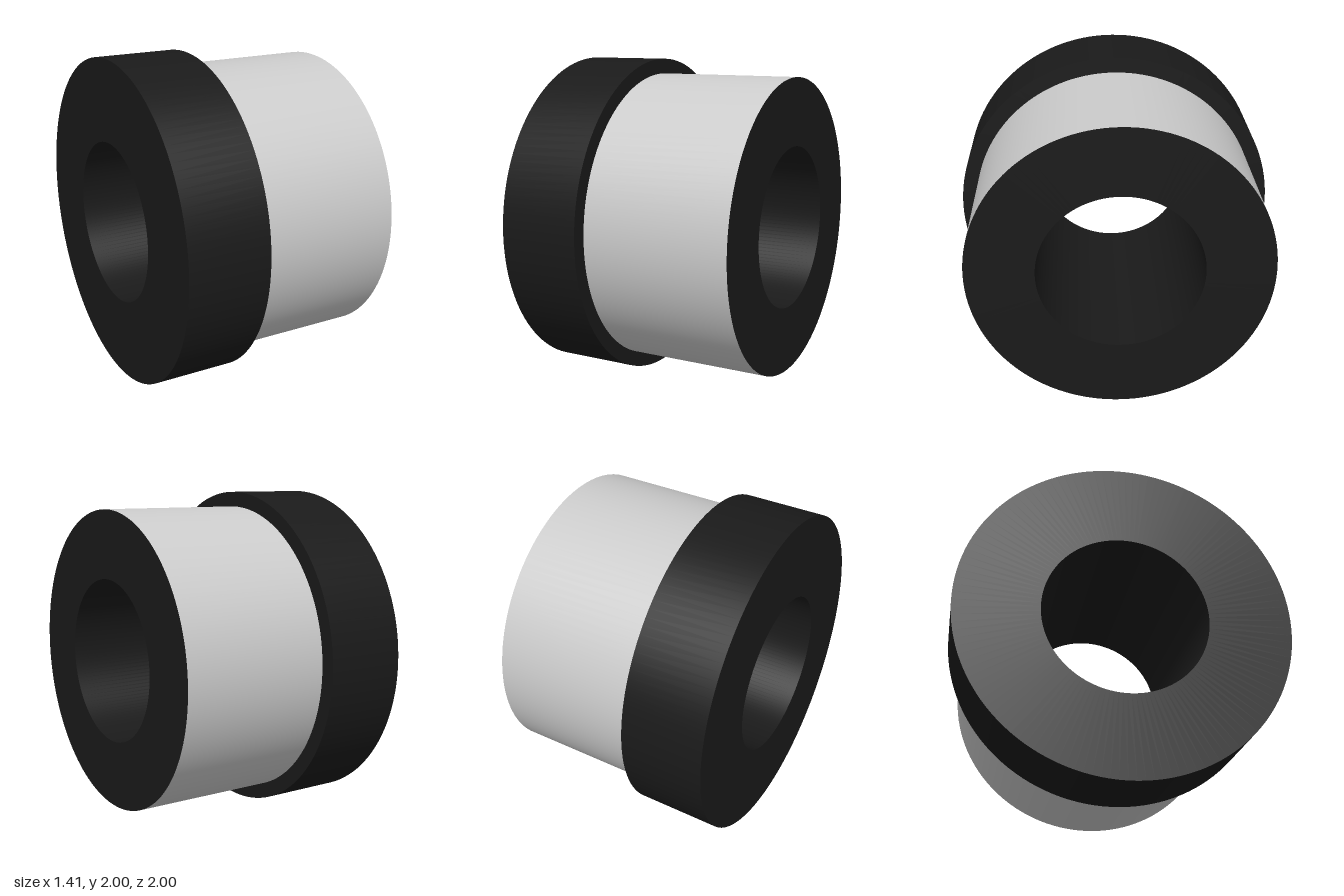
import * as THREE from 'three';
import { mergeGeometries } from 'three/addons/utils/BufferGeometryUtils.js';

const SEGMENTS = 128;
const HALF = 0.705;    // half length along x
const STEP = -0.2;     // where the flange meets the sleeve
const FLANGE_R = 1;
const SLEEVE_R = 0.908;
const BORE_R = 0.496;

// Revolve a profile of [radius, x] points about the x axis, with a sharp edge at every point
function turned(name, profile, color) {
  const bands = profile.slice(1).map((end, i) =>
    new THREE.LatheGeometry([profile[i], end].map(([r, x]) => new THREE.Vector2(r, x)), SEGMENTS));
  const geometry = mergeGeometries(bands).rotateZ(-Math.PI / 2);
  const mesh = new THREE.Mesh(geometry, new THREE.MeshStandardMaterial({ color }));
  mesh.name = name;
  mesh.position.y = FLANGE_R;
  return mesh;
}

export function createModel() {
  const group = new THREE.Group();
  group.name = 'flangedBushing';

  // Dark body: bore, flange, step and the ring at the far end
  group.add(turned('rubberBody', [
    [SLEEVE_R, HALF], [BORE_R, HALF], [BORE_R, -HALF],
    [FLANGE_R, -HALF], [FLANGE_R, STEP], [SLEEVE_R, STEP],
  ], 0x1a1a1a));

  // Grey outer skin of the narrower section
  group.add(turned('outerSleeve', [[SLEEVE_R, STEP], [SLEEVE_R, HALF]], 0xcccccc));

  return group;
}
